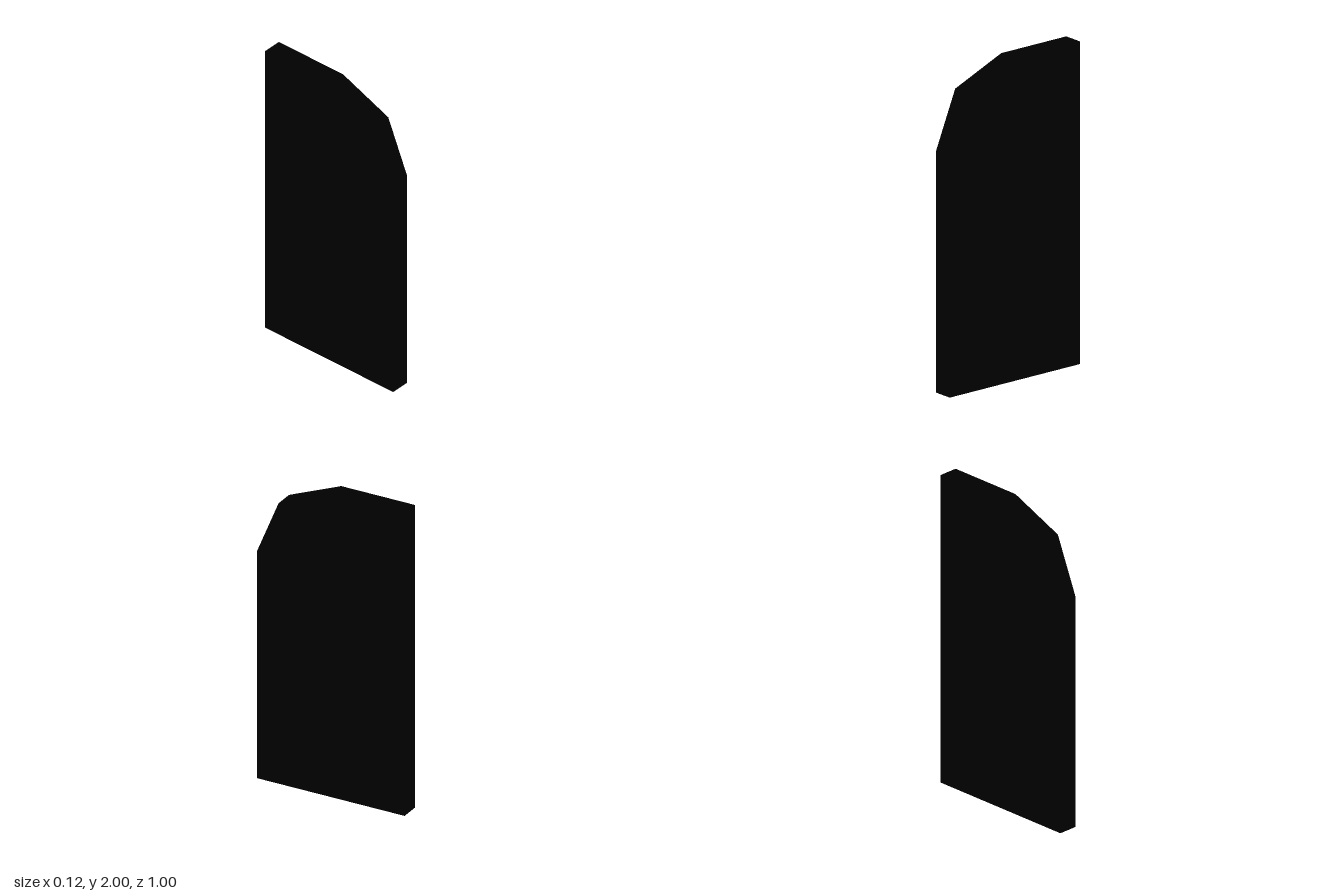
import * as THREE from 'three';

const THICKNESS = 0.125;
const HALF_DEPTH = 0.5;
const HEIGHT = 2;
const CORNER = 0.5; // radius of the faceted front top corner
const CORNER_SEGMENTS = 2;

export function createModel() {
  const group = new THREE.Group();
  group.name = 'panel';

  // Side outline (shape x becomes z), with one corner cut in facets
  const outline = new THREE.Shape();
  outline.moveTo(-HALF_DEPTH, 0);
  outline.lineTo(HALF_DEPTH, 0);
  for (let i = 0; i <= CORNER_SEGMENTS; i++) {
    const a = (i / CORNER_SEGMENTS) * Math.PI / 2;
    outline.lineTo(
      HALF_DEPTH - CORNER + CORNER * Math.cos(a),
      HEIGHT - CORNER + CORNER * Math.sin(a)
    );
  }
  outline.lineTo(-HALF_DEPTH, HEIGHT);
  outline.closePath();

  // Upright slab, turned so that its thickness runs along x
  const geometry = new THREE.ExtrudeGeometry(outline, { depth: THICKNESS, bevelEnabled: false });
  geometry.translate(0, 0, -THICKNESS / 2);
  geometry.rotateY(-Math.PI / 2);

  const material = new THREE.MeshStandardMaterial({ color: 0x000000 });
  const slab = new THREE.Mesh(geometry, material);
  slab.name = 'slab';
  group.add(slab);

  return group;
}
